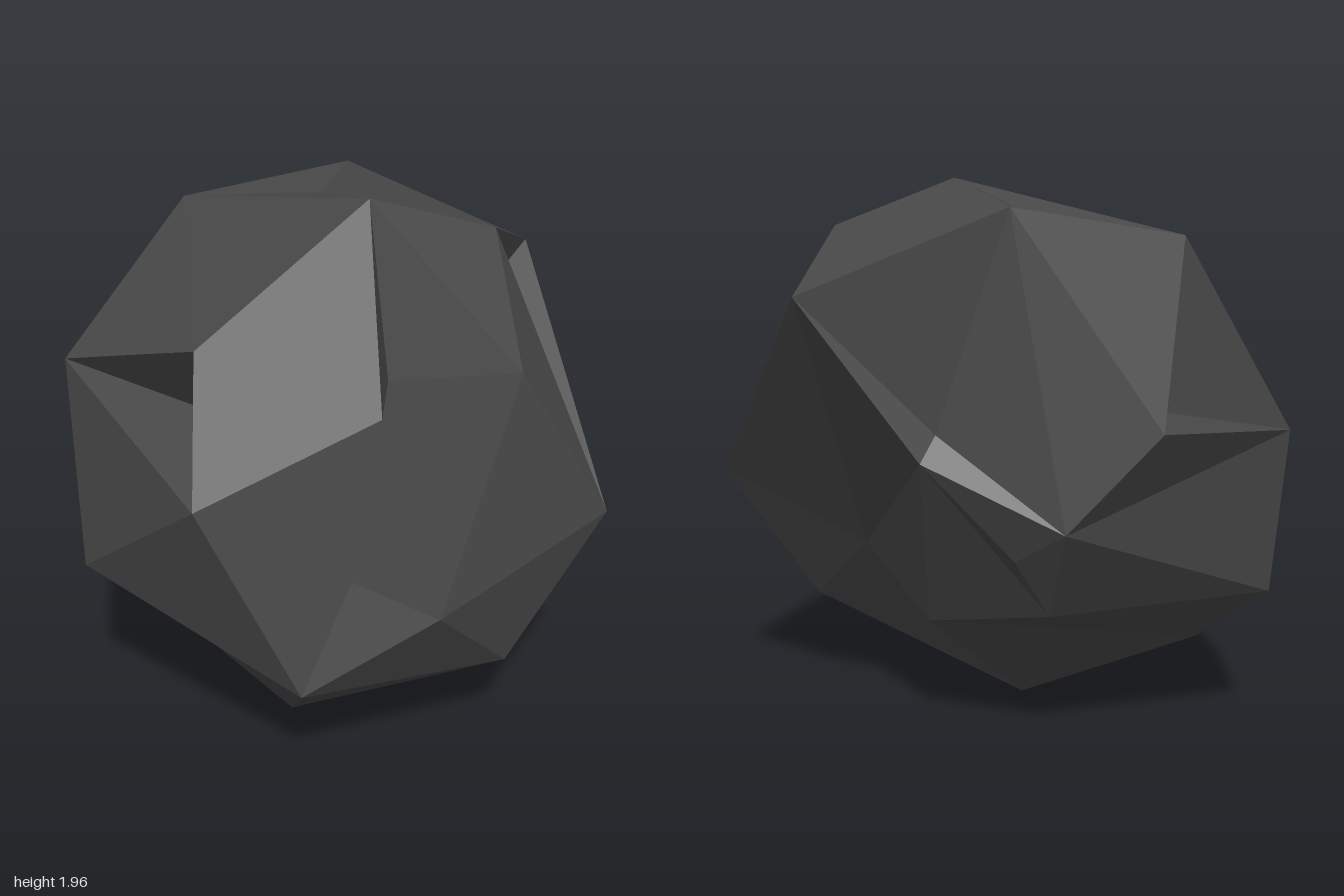
import * as THREE from 'three';

// Corner points of the boulder
const corners = {
  // crown
  A: [0.2, 1.96, 0], B: [-0.67, 1.79, -0.16], J: [0.48, 1.81, -0.37], K: [-0.22, 1.89, -0.57],
  // front
  L: [0.07, 1.16, 0.84], M: [-0.69, 1.39, 0.52], N: [-0.08, 1.58, 0.6], O: [-0.53, 0.7, 0.68],
  P: [0.35, 0.46, 0.66], Q: [0.73, 0.77, 0.43], R: [0.53, 1.45, 0.48],
  // sides
  C: [-1, 1.14, 0.03], D: [-0.94, 0.55, 0.09], H: [1, 0.91, -0.28], I: [0.79, 1.5, 0.04], G: [0.78, 0.38, 0],
  // foot
  E: [-0.66, 0.31, 0.21], F: [0.02, 0, 0.21],
  // back
  S: [0.39, 1.62, -0.84], T: [-0.7, 1.2, -0.49], U: [0.04, 1.09, -0.685], V: [-0.41, 0.87, -0.575],
  W: [0.18, 0.435, -0.31], Y: [0.46, 0.67, -0.22], Z: [0.02, 1.17, -0.605],
  v: [-0.22, 0.75, -0.523], w: [-0.29, 0.525, -0.375],
  // bottoms of the chipped dents
  1: [-0.2, 1.28, 0.41], 2: [0.36, 0.81, 0.29], 3: [0.35, 1.4, 0.12],
  4: [0.33, 1.38, -0.29], 5: [-0.42, 1.23, -0.2], 6: [-0.13, 1.87, -0.24],
};

// Fans of facets: first letter is the hub, the rest its rim, counter-clockwise from outside
const closedFans = ['LMOP2QRN1', 'AIJK6BNR3', 'USYWwvVZ', 'EFPODwW', '5BTC', '4JHS'];
const openFans = ['KJSZVTB', 'YSHGFW', 'IRQHJ', 'GHQPF', 'VwDCT', 'MCDO', 'BCMN',
  '1NM', '2PQ', '3RI', '6KB', 'vwV'];

function facetGeometry() {
  const positions = [];
  const addFan = (fan, closed) => {
    const [hub, ...rim] = fan;
    if (closed) rim.push(rim[0]);
    for (let i = 0; i < rim.length - 1; i++) {
      positions.push(...corners[hub], ...corners[rim[i]], ...corners[rim[i + 1]]);
    }
  };
  closedFans.forEach((fan) => addFan(fan, true));
  openFans.forEach((fan) => addFan(fan, false));
  const geometry = new THREE.BufferGeometry();
  geometry.setAttribute('position', new THREE.Float32BufferAttribute(positions, 3));
  geometry.computeVertexNormals();
  return geometry;
}

export function createModel() {
  const group = new THREE.Group();
  group.name = 'rock';
  const stone = new THREE.MeshStandardMaterial({ color: 0x484848, flatShading: true });
  stone.name = 'dark stone';
  const boulder = new THREE.Mesh(facetGeometry(), stone);
  boulder.name = 'boulder';
  group.add(boulder);
  return group;
}
